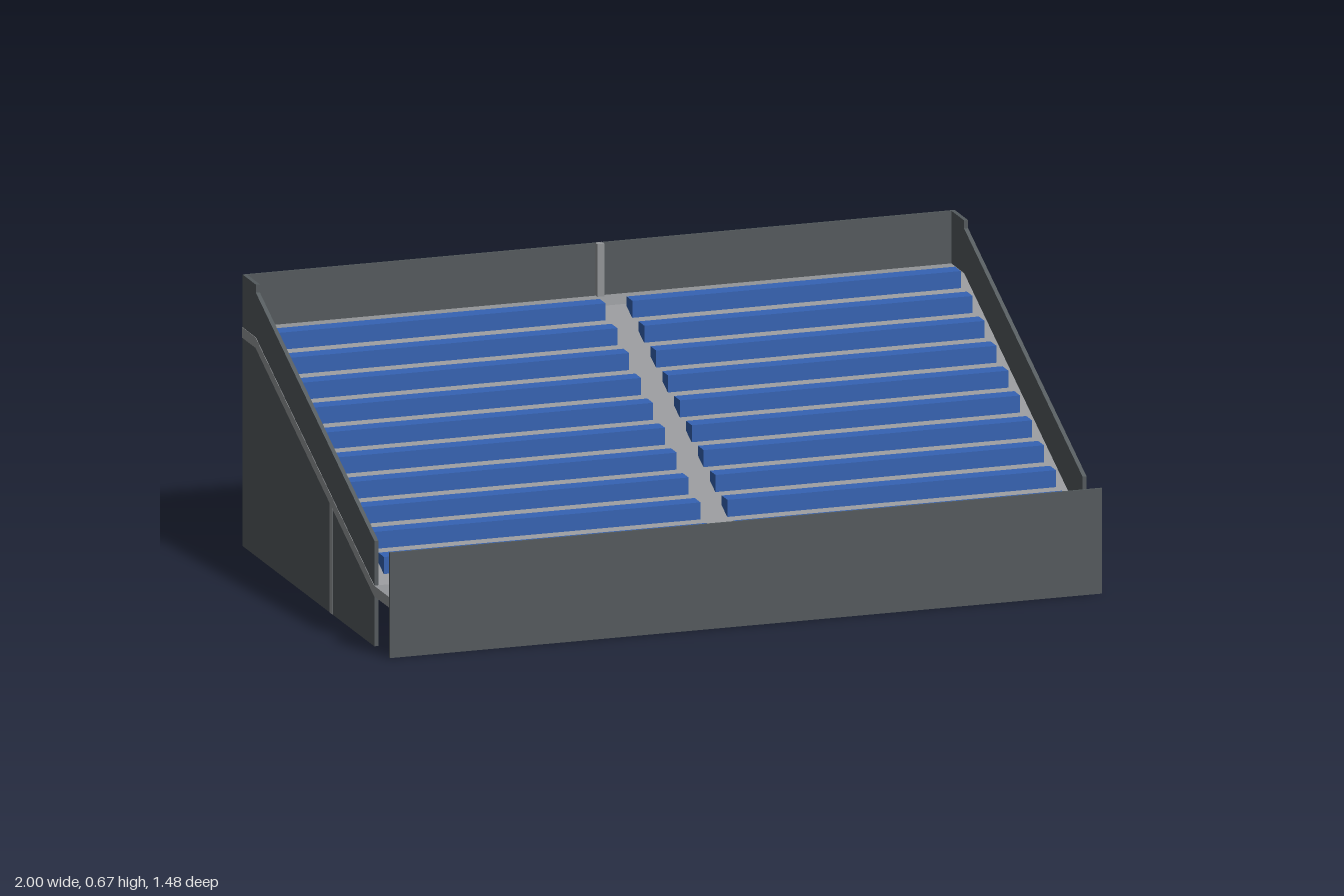
import * as THREE from 'three';

const HALF_W = 0.897, HALF_D = 0.538;   // half width and half depth of the stand
const FRONT = 0.425, BACK = -0.44;      // where the slope starts and ends
const LOW = 0.15, HIGH = 0.54;          // floor heights
const SLAB = 0.026, RAIL = 0.11;        // floor thickness, parapet height over the slope

const floorY = (z) => LOW + (HIGH - LOW) * (FRONT - z) / (FRONT - BACK);

export function createModel() {
  const wall = new THREE.MeshStandardMaterial({ color: 0x545a5d });
  wall.name = 'dark grey panel';
  const grey = new THREE.MeshStandardMaterial({ color: 0x939598 });
  grey.name = 'light grey floor and frame';
  const blue = new THREE.MeshStandardMaterial({ color: 0x3563b4 });
  blue.name = 'blue seat';

  const model = new THREE.Group();
  model.name = 'grandstand';
  const stand = new THREE.Group();
  stand.name = 'stand';
  stand.rotation.y = -Math.atan(0.25);
  model.add(stand);

  const add = (name, geometry, material) => {
    const mesh = new THREE.Mesh(geometry, material);
    mesh.name = name;
    stand.add(mesh);
    return mesh;
  };
  // Box given by its limits on each axis
  const box = (name, material, x0, x1, y0, y1, z0, z1) =>
    add(name, new THREE.BoxGeometry(x1 - x0, y1 - y0, z1 - z0), material)
      .position.set((x0 + x1) / 2, (y0 + y1) / 2, (z0 + z1) / 2);
  // Side profile of [z, y] points, extruded across x and centred
  const profile = (points, width) => {
    const shape = new THREE.Shape(points.map(([z, y]) => new THREE.Vector2(z, y)));
    const g = new THREE.ExtrudeGeometry(shape, { depth: width, bevelEnabled: false });
    return g.translate(0, 0, -width / 2).rotateY(-Math.PI / 2);
  };

  // Floor: low walkway, sloping deck, high walkway
  add('floor', profile([
    [-HALF_D - 0.001, HIGH - SLAB], [BACK, HIGH - SLAB], [FRONT, LOW - SLAB], [HALF_D - 0.005, LOW - SLAB],
    [HALF_D - 0.005, LOW], [FRONT, LOW], [BACK, HIGH], [-HALF_D - 0.001, HIGH],
  ], 2 * HALF_W + 0.002), grey);

  // Side panels
  for (const [name, s] of [['leftSidePanel', 1], ['rightSidePanel', -1]]) {
    add(name, profile([
      [-HALF_D, 0], [FRONT, 0], [FRONT, LOW + RAIL], [BACK, HIGH + RAIL], [BACK, 0.67], [-HALF_D, 0.67],
    ], 0.01), wall).position.x = s * (HALF_W - 0.005);
  }

  // Front and back panels
  box('frontPanel', wall, -HALF_W, HALF_W, 0, 0.26, HALF_D - 0.005, HALF_D);
  box('backPanel', wall, -HALF_W, HALF_W, HIGH, 0.67, -HALF_D, -HALF_D + 0.005);

  // Posts: a row along the back and a row under the deck
  const post = (name, x, z, top) =>
    box(name, grey, x - 0.009, x + 0.009, 0, top, z - 0.009, z + 0.009);
  const backZ = -HALF_D + 0.008, midZ = 0.11;
  post('backCentrePost', 0, backZ, 0.67);
  post('midCentrePost', 0, midZ, floorY(midZ) - 0.01);
  for (const s of [-1, 1]) {
    post('backCornerPost', s * (HALF_W - 0.0105), backZ + 0.002, HIGH - 0.01);
    post('midSidePost', s * (HALF_W - 0.0105) - 0.0025, midZ, floorY(midZ) - 0.01);
  }
  // Cross bar at the back
  box('crossBar', grey, -HALF_W + 0.005, HALF_W - 0.005, 0.255, 0.267, backZ - 0.006, backZ + 0.006);

  // Bench rows on both sides of the aisle
  for (let i = 0; i < 10; i++) {
    const z = -0.41 + i * 0.0867, y = floorY(z);
    for (const s of [-1, 1]) {
      const a = s * 0.034, b = s * 0.861;
      box('bench', blue, Math.min(a, b), Math.max(a, b), y - 0.008, y + 0.034, z - 0.021, z + 0.021);
    }
  }
  return model;
}
